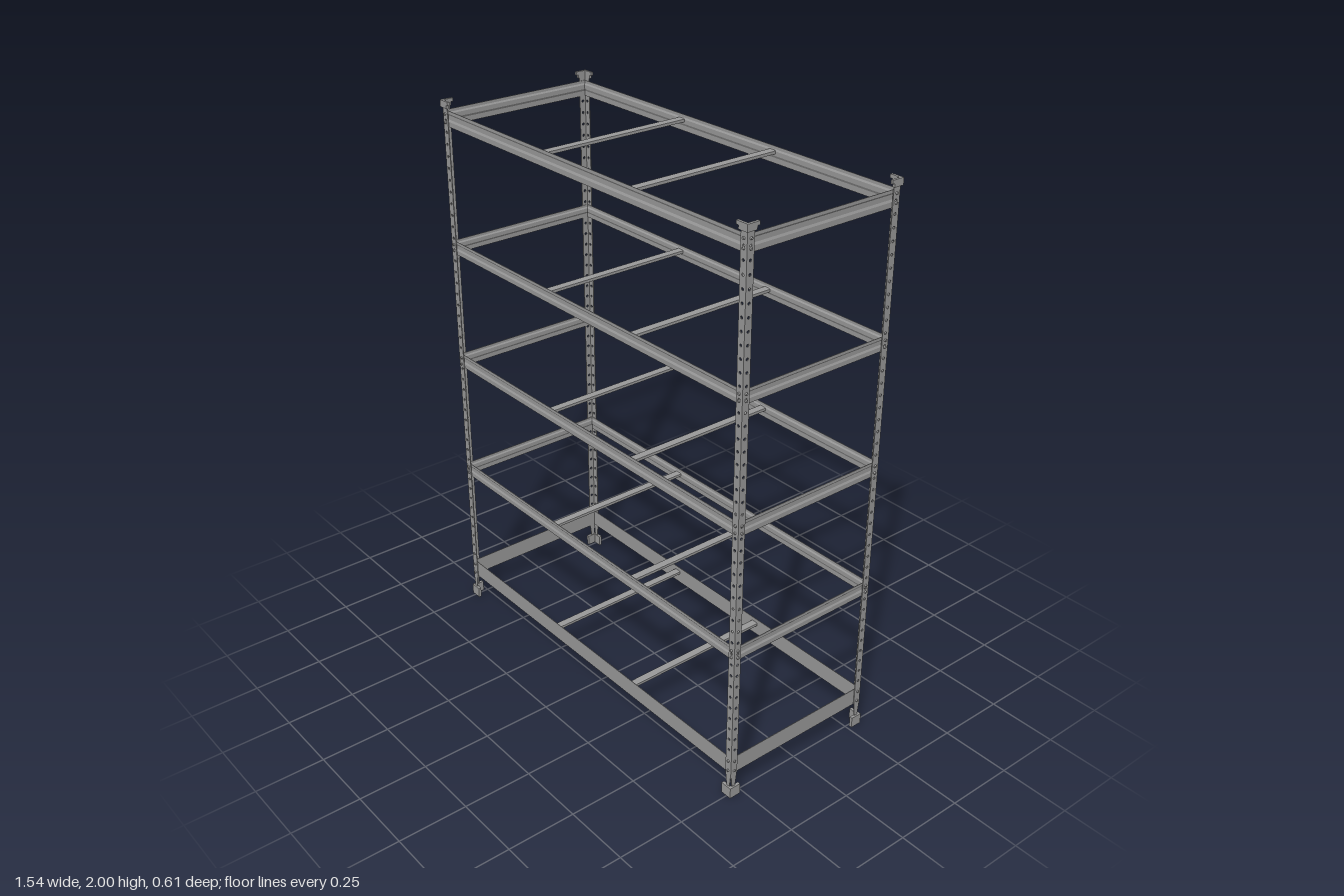
import * as THREE from 'three';

const HX = 0.762, HZ = 0.3; // outer corner of the posts
const LEG = 0.027, SHEET = 0.003;
const LEVELS = [[0.09, 0.155], [0.545, 0.597], [1.003, 1.055], [1.447, 1.496], [1.91, 1.966]];

export function createModel() {
  const root = new THREE.Group();
  root.name = 'shelvingRack';
  const steel = new THREE.MeshStandardMaterial({ color: 0x9b9b9b, side: THREE.DoubleSide });
  steel.name = 'galvanisedSteel';

  const add = (parent, geo, name, x = 0, y = 0, z = 0, ry = 0) => {
    const m = new THREE.Mesh(geo, steel);
    m.name = name;
    m.position.set(x, y, z);
    m.rotation.y = ry;
    parent.add(m);
    return m;
  };

  // One perforated flange of an angle post, tapering to a tab at its foot
  const flangeGeometry = (dir) => {
    const pts = [[0.008, 0.03], [0.004, 0.06], [0, 0.1], [0, 1.985], [LEG, 1.985], [LEG, 0.1], [0.022, 0.06], [0.018, 0.03]];
    const s = new THREE.Shape(pts.map(([u, y]) => new THREE.Vector2(dir * u, y)));
    for (let y = 0.19; y < 1.96; y += 0.0425) {
      const h = new THREE.Path();
      h.absarc(dir * 0.014, y, 0.0045, 0, Math.PI * 2, true);
      s.holes.push(h);
    }
    const g = new THREE.ExtrudeGeometry(s, { depth: SHEET, bevelEnabled: false, curveSegments: 8 });
    return g.translate(0, 0, -SHEET);
  };

  // L-shaped plan piece for the feet and caps, standing on y = 0
  const angleGeometry = (size, thick, height) => {
    const o = 0.006, i = o - thick, e = o - size;
    const pts = [[o, o], [e, o], [e, i], [i, i], [i, e], [o, e]];
    const s = new THREE.Shape(pts.map(([x, z]) => new THREE.Vector2(x, -z)));
    const g = new THREE.ExtrudeGeometry(s, { depth: height, bevelEnabled: false });
    return g.rotateX(-Math.PI / 2);
  };

  const flangeA = flangeGeometry(-1);
  const flangeB = flangeGeometry(1);
  const foot = angleGeometry(0.043, 0.011, 0.04);
  const cap = angleGeometry(0.046, 0.009, 0.012);
  const capNeck = angleGeometry(0.037, 0.009, 0.012);
  const rivet = new THREE.CylinderGeometry(0.004, 0.005, 0.005, 8).rotateX(Math.PI / 2);

  // Corner posts: quarter turns carry the same angle to each corner
  [[1, 1], [1, -1], [-1, -1], [-1, 1]].forEach(([sx, sz], k) => {
    const post = new THREE.Group();
    post.name = 'cornerPost';
    post.position.set(sx * HX, 0, sz * HZ);
    post.rotation.y = k * Math.PI / 2;
    add(post, flangeA, 'postFlange');
    add(post, flangeB, 'postFlange', 0, 0, 0, Math.PI / 2);
    add(post, foot, 'foot');
    add(post, cap, 'postCap', 0, 1.988, 0);
    add(post, capNeck, 'postCapNeck', 0, 1.976, 0);
    for (const [lo, hi] of LEVELS) {
      for (const y of [lo + 0.014, hi - 0.012]) {
        add(post, rivet, 'rivet', -0.014, y, 0.002);
        add(post, rivet, 'rivet', 0.002, y, -0.014, Math.PI / 2);
      }
    }
    root.add(post);
  });

  // Sheet beam: shallow pressed groove, outward face towards +x, running along z
  const beamGeometry = (length, h, grooved) => {
    const d = grooved ? -0.003 : 0;
    const outer = [[0, 0], [0, 0.32], [d, 0.45], [d, 0.72], [0, 0.82], [0, 1]];
    const inner = outer.map(([x, t]) => [x - 0.002, t]).reverse();
    const s = new THREE.Shape([...outer, ...inner].map(([x, t]) => new THREE.Vector2(x, t * h)));
    const g = new THREE.ExtrudeGeometry(s, { depth: length, bevelEnabled: false });
    return g.translate(0, 0, -length / 2);
  };

  // Crossbar: folded channel, open underneath, running along z
  const barPts = [[-0.014, -0.012], [-0.014, -0.002], [-0.011, 0], [0.011, 0], [0.014, -0.002], [0.014, -0.012],
    [0.012, -0.012], [0.012, -0.003], [-0.012, -0.003], [-0.012, -0.012]];
  const bar = new THREE.ExtrudeGeometry(
    new THREE.Shape(barPts.map(([x, y]) => new THREE.Vector2(x, y))), { depth: 0.58, bevelEnabled: false }
  ).translate(0, 0, -0.29);

  // Shelf levels
  LEVELS.forEach(([lo, hi], i) => {
    const level = new THREE.Group();
    level.name = 'shelfLevel';
    const long = beamGeometry(1.51, hi - lo, i > 0);
    const short = beamGeometry(0.585, hi - lo, i > 0);
    add(level, short, 'sideBeam', HX - 0.005, lo, 0);
    add(level, short, 'sideBeam', -HX + 0.005, lo, 0, Math.PI);
    add(level, long, 'backBeam', 0, lo, -HZ + 0.005, Math.PI / 2);
    add(level, long, 'frontBeam', 0, lo, HZ - 0.005, -Math.PI / 2);
    for (const x of [-0.211, 0.232]) add(level, bar, 'crossbar', x, hi - 0.012, 0);
    root.add(level);
  });

  return root;
}
